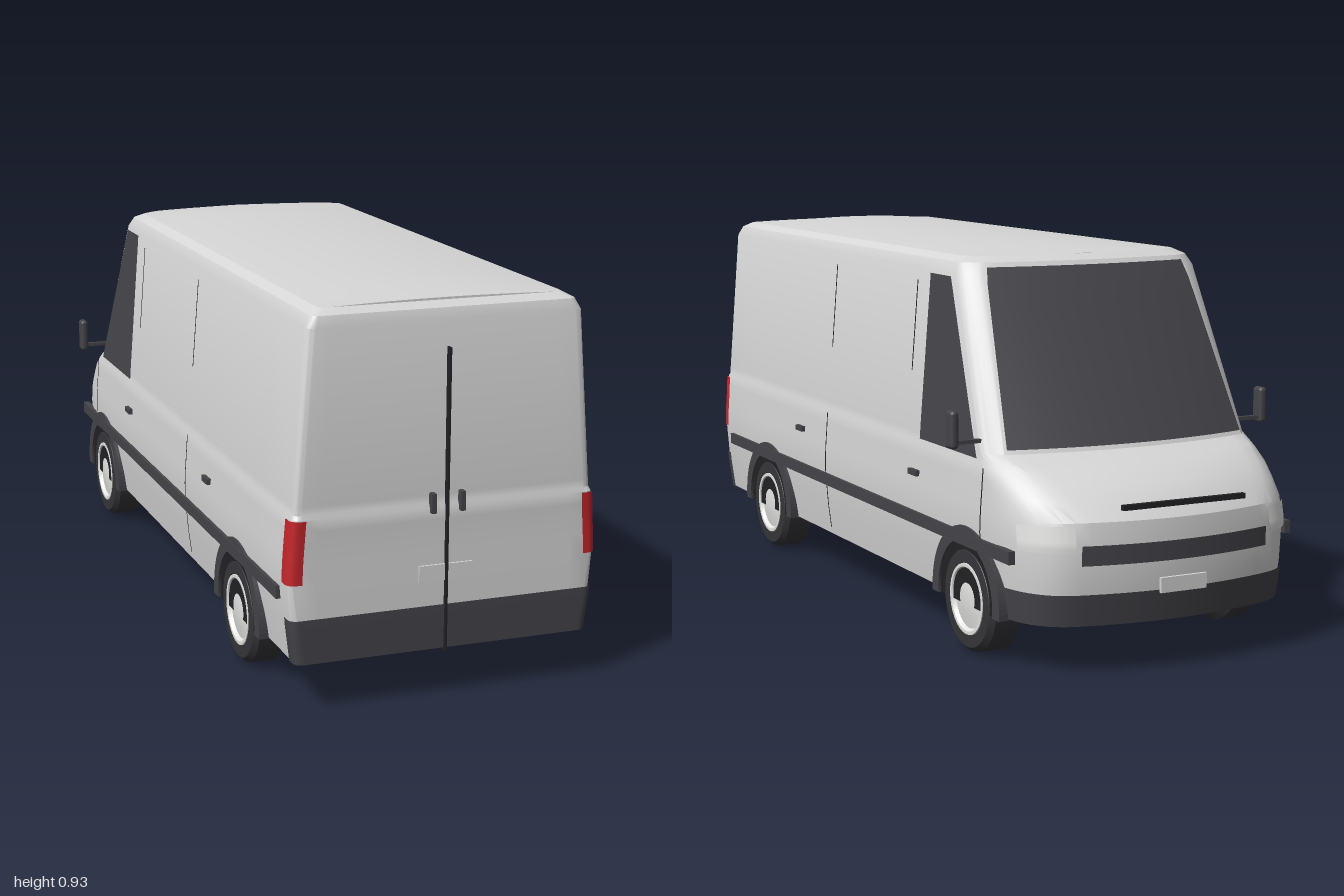
import * as THREE from 'three';
import { toCreasedNormals } from 'three/addons/utils/BufferGeometryUtils.js';
import { RoundedBoxGeometry } from 'three/addons/geometries/RoundedBoxGeometry.js';

const mat = (name, color) => Object.assign(new THREE.MeshStandardMaterial({ color }), { name });
const paint = mat('body paint', 0xd6d6d6);
const glass = mat('dark glass', 0x46454b);
const trim = mat('dark trim', 0x45444a);
const rubber = mat('tyre rubber', 0x36363a);
const black = mat('underside black', 0x222226);
const red = mat('rear lamp red', 0xc4262c);
const rim = mat('pale wheel and lamp', 0xe2e2e0);

// Horizontal outlines of the shell, the nose pointing to -z:
// y, half width, front z, front bulge, front corner x, side start z, rear z
const LEVELS = [
  [0.115, 0.352, -0.975, 0.035, 0.25, -0.76, 0.983],
  [0.2, 0.363, -0.99, 0.035, 0.25, -0.74, 0.985],
  [0.3, 0.371, -0.992, 0.035, 0.25, -0.74, 0.985],
  [0.35, 0.369, -0.988, 0.04, 0.25, -0.74, 0.985],
  [0.39, 0.366, -0.957, 0.05, 0.27, -0.735, 0.985],
  [0.42, 0.364, -0.92, 0.055, 0.29, -0.73, 0.986],
  [0.448, 0.362, -0.868, 0.055, 0.305, -0.7, 0.987],
  [0.458, 0.358, -0.84, 0.05, 0.315, -0.69, 0.982],
  [0.476, 0.357, -0.785, 0.045, 0.322, -0.68, 0.982],
  [0.87, 0.326, -0.573, 0.025, 0.277, -0.49, 0.98],
  [0.895, 0.313, -0.557, 0.025, 0.265, -0.48, 0.972],
  [0.908, 0.29, -0.53, 0.03, 0.24, -0.46, 0.95],
];
const TOP = 0.908, BOTTOM = 0.115;

function level(y) {
  let i = 0;
  while (i < LEVELS.length - 2 && y > LEVELS[i + 1][0]) i++;
  const a = LEVELS[i], b = LEVELS[i + 1], t = (y - a[0]) / (b[0] - a[0]);
  return a.map((v, k) => v + (b[k] - v) * t);
}

// Shell point: |s| 0-1 front, 1-2 front corner, 2-3 side, 3-4 rear corner, 4-5 rear
function shell(y, s) {
  const [, hw, zf, bulge, cx, zs, zr] = level(y);
  const a = Math.abs(s), k = Math.min(4, Math.floor(a)), t = a - k, r = 0.02;
  const bez = (p, q, w) => (1 - t) * (1 - t) * p + 2 * t * (1 - t) * q + t * t * w;
  let x, z;
  if (k === 0) { x = cx * t; z = zf + bulge * t * t; }
  else if (k === 1) { x = bez(cx, hw, hw); z = bez(zf + bulge, zf + bulge * 1.9, zs); }
  else if (k === 2) { x = hw; z = zs + (zr - r - zs) * t; }
  else if (k === 3) { x = bez(hw, hw, hw - r); z = bez(zr - r, zr, zr); }
  else { x = (hw - r) * (1 - t); z = zr; }
  return new THREE.Vector3(s < 0 ? -x : x, y, z);
}

// Surface grid, facing along du x dv
function grid(f, nu, nv) {
  const pos = [], idx = [];
  for (let i = 0; i <= nu; i++) for (let j = 0; j <= nv; j++) pos.push(...f(i / nu, j / nv).toArray());
  for (let i = 0; i < nu; i++) for (let j = 0; j < nv; j++) {
    const a = i * (nv + 1) + j, b = a + nv + 1;
    idx.push(a, b, b + 1, a, b + 1, a + 1);
  }
  const g = new THREE.BufferGeometry();
  g.setAttribute('position', new THREE.Float32BufferAttribute(pos, 3));
  g.setIndex(idx);
  g.computeVertexNormals();
  return g;
}

// Thin panel that follows the shell
function panel(y0, y1, s0, s1, off = 0.004, nv = 14) {
  return grid((u, v) => {
    const y = y0 + (y1 - y0) * u, s = s0 + (s1 - s0) * v, e = 0.002;
    const p = shell(y, s);
    const dy = shell(y + e, s).sub(shell(y - e, s));
    const ds = shell(y, s + e).sub(shell(y, s - e));
    return p.addScaledVector(dy.cross(ds).normalize(), off);
  }, 10, nv);
}

// Thin panel on a side wall; zA(u) and zB(u) are its edges from bottom to top
function sidePanel(side, y0, y1, zA, zB, off = 0.003) {
  return grid((u, v) => {
    const y = y0 + (y1 - y0) * u, t = side > 0 ? v : 1 - v;
    return new THREE.Vector3(side * (level(y)[1] + off), y, zA(u) + (zB(u) - zA(u)) * t);
  }, 10, 1);
}

export function createModel() {
  const van = new THREE.Group();
  van.name = 'van';
  const add = (name, geo, material, parent = van) => {
    const m = new THREE.Mesh(geo, material);
    m.name = name;
    parent.add(m);
    return m;
  };
  const box = (name, w, h, d, x, y, z, material) =>
    add(name, new THREE.BoxGeometry(w, h, d), material).position.set(x, y, z);

  // Body walls, roof and floor
  const n = LEVELS.length - 1;
  add('bodyShell', toCreasedNormals(
    grid((u, v) => shell(LEVELS[Math.round(u * n)][0], -5 + 10 * v), n, 80), 0.5), paint);
  add('roof', grid((u, v) => {
    const p = shell(TOP, 5 * v), t = 1 - 2 * u;
    const fade = THREE.MathUtils.smoothstep(p.z, -0.56, -0.36) * (1 - 0.7 * THREE.MathUtils.smoothstep(p.z, 0.86, 0.95));
    return p.set(p.x * t, TOP + 0.017 * (1 - t * t) * fade, p.z);
  }, 16, 60), paint);
  add('floor', grid((u, v) => {
    const p = shell(BOTTOM, 5 * v);
    return p.setX(p.x * (2 * u - 1));
  }, 2, 40), black);

  // Windscreen, bumpers, grille
  add('windscreen', panel(0.484, 0.882, -0.98, 0.98, 0.005), glass);
  add('frontBumper', panel(0.116, 0.19, -1.85, 1.85, 0.005, 40), trim);
  add('grille', panel(0.255, 0.3, -0.97, 0.97), trim);
  add('rearBumperLeft', panel(0.116, 0.22, 2.99, 5, 0.004, 20), trim);
  add('rearBumperRight', panel(0.116, 0.22, -5, -2.99, 0.004, 20), trim);
  box('hoodBar', 0.32, 0.012, 0.012, 0, 0.385, -0.993, black);
  box('frontPlate', 0.12, 0.035, 0.008, 0, 0.2, -0.995, paint);

  // Rear doors
  box('rearDoorSeam', 0.005, 0.7, 0.016, 0, 0.46, 0.988, black);
  box('rearPlate', 0.13, 0.038, 0.006, 0, 0.296, 0.987, paint);

  // Wheel and arch shapes, outward along local +z
  const lathe = pts => toCreasedNormals(
    new THREE.LatheGeometry(pts.map(p => new THREE.Vector2(...p)), 32).rotateX(Math.PI / 2), 0.5);
  const tyreGeo = lathe([[0, -0.044], [0.108, -0.044], [0.126, -0.03], [0.126, 0.03], [0.114, 0.043], [0.086, 0.044], [0.084, 0.03]]);
  const hubGeo = lathe([[0.086, 0.028], [0.084, 0.045], [0.076, 0.045], [0.07, 0.036], [0.035, 0.042], [0, 0.045]]);
  const arch = (outer, inner, depth) => {
    const cut = r => Math.asin(0.014 / r), s = new THREE.Shape();
    s.absarc(0, 0, outer, -cut(outer), Math.PI + cut(outer), false);
    if (inner) s.absarc(0, 0, inner, Math.PI + cut(inner), -cut(inner), true);
    return new THREE.ExtrudeGeometry(s, { depth, bevelEnabled: false, curveSegments: 20 });
  };
  const lipGeo = arch(0.173, 0.14, 0.026), linerGeo = arch(0.145, 0, 0.02);

  for (const side of [1, -1]) {
    const tag = side > 0 ? 'Left' : 'Right';
    const range = (a, b) => (side > 0 ? [a, b] : [-b, -a]);

    // Side glass and lamps
    add('sideWindow' + tag, sidePanel(side, 0.462, 0.862, u => -0.68 + 0.195 * u, () => -0.375, 0.004), glass);
    add('headlamp' + tag, panel(0.285, 0.343, ...range(1.02, 1.6)), rim);
    add('rearLamp' + tag, panel(0.302, 0.447, ...range(2.99, 4.03), 0.004, 30), red);

    // Door seams
    for (const [z, y0, y1] of [[0.195, 0.62, 0.84], [-0.305, 0.62, 0.84], [0.195, 0.135, 0.446], [-0.72, 0.2, 0.446]])
      add('doorSeam' + tag, sidePanel(side, y0, y1, () => z - 0.0025, () => z + 0.0025), black);

    // Rubbing strip and handles
    box('sideStrip' + tag, 0.016, 0.03, 1.79, side * 0.37, 0.268, 0.025, trim);
    for (const z of [0.375, -0.36]) box('doorHandle' + tag, 0.016, 0.014, 0.045, side * 0.369, 0.378, z, trim);
    box('rearHandle' + tag, 0.011, 0.045, 0.018, side * 0.035, 0.46, 0.991, trim);

    // Wing mirror
    box('mirrorStalk' + tag, 0.065, 0.009, 0.012, side * 0.382, 0.502, -0.677, trim);
    add('mirror' + tag, new RoundedBoxGeometry(0.021, 0.088, 0.036, 3, 0.009), trim)
      .position.set(side * 0.42, 0.532, -0.672);

    // Wheels in their arches
    for (const [end, z] of [['rear', 0.62], ['front', -0.647]]) {
      const corner = new THREE.Group();
      corner.name = end + 'Wheel' + tag;
      corner.position.set(0, 0.126, z);
      corner.rotation.y = side * Math.PI / 2;
      van.add(corner);
      add('tyre', tyreGeo, rubber, corner).position.z = 0.328;
      add('hub', hubGeo, rim, corner).position.z = 0.328;
      add('archLip', lipGeo, trim, corner).position.z = 0.35;
      add('archLiner', linerGeo, black, corner).position.z = 0.3495;
    }
  }
  return van;
}
